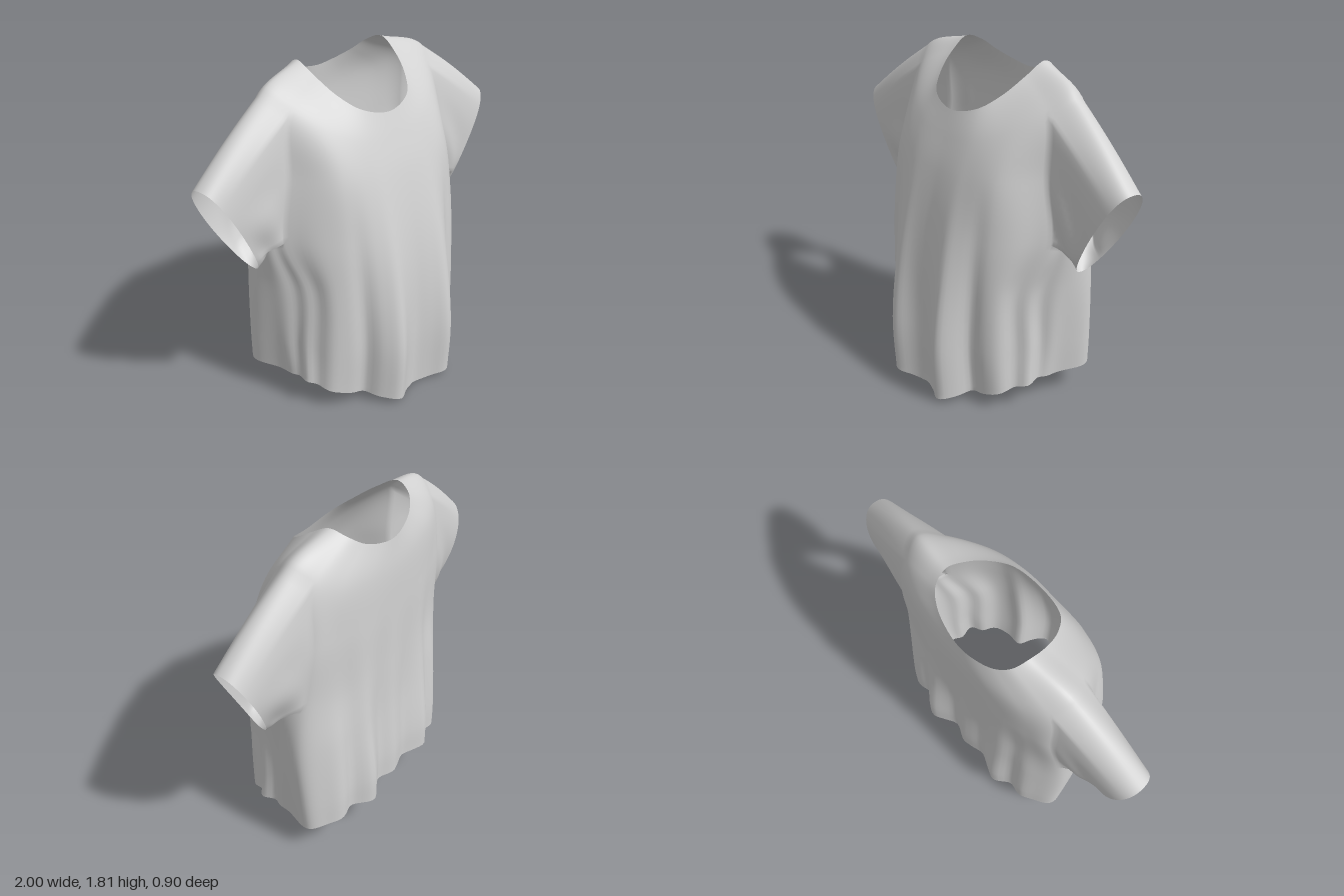
import * as THREE from 'three';

const N = 10;                 // subdivisions between control points
const COLS = 16 * N, ROWS = 6 * N, SLEEVE = 14;
const V = (p) => new THREE.Vector3(...p);

// Half cross-sections, front centre -> left side -> back centre
const hem = [[0, 0, .385], [.2, .03, .39], [.38, .08, .265], [.55, .15, .11], [.56, .16, -.08], [.61, .17, -.27], [.45, .2, -.37], [.22, .2, -.41], [0, .2, -.4]];
const low = [[0, .35, .395], [.2, .35, .405], [.38, .35, .28], [.54, .35, .1], [.58, .35, -.08], [.62, .35, -.26], [.45, .35, -.37], [.22, .35, -.41], [0, .35, -.4]];
const waist = [[0, .7, .38], [.2, .7, .375], [.39, .7, .27], [.53, .7, .1], [.61, .7, -.07], [.63, .7, -.24], [.45, .7, -.35], [.22, .7, -.38], [0, .7, -.38]];
const armpit = [[0, .98, .34], [.2, .98, .33], [.4, .98, .245], [.595, .985, .02], [.645, .95, -.09], [.61, .99, -.25], [.44, .98, -.325], [.22, .98, -.37], [0, .98, -.375]];
const chest = [[0, 1.27, .27], [.2, 1.28, .26], [.39, 1.3, .2], [.55, 1.32, .015], [.66, 1.32, -.1], [.57, 1.32, -.275], [.43, 1.32, -.33], [.22, 1.3, -.37], [0, 1.3, -.375]];
const yoke = [[0, 1.43, .215], [.2, 1.46, .195], [.36, 1.53, .115], [.5, 1.63, -.02], [.57, 1.705, -.14], [.52, 1.64, -.25], [.4, 1.58, -.32], [.21, 1.55, -.36], [0, 1.52, -.37]];
const neck = [[0, 1.56, .165], [.16, 1.6, .13], [.24, 1.67, .04], [.28, 1.75, -.07], [.29, 1.81, -.18], [.265, 1.78, -.26], [.2, 1.73, -.31], [.1, 1.695, -.34], [0, 1.68, -.35]];

// Hanging folds: [position around the half section, depth, width]
const folds = [[0, -.025, .4], [.95, .045, .28], [1.65, -.05, .24], [2.3, .015, .25], [2.72, -.03, .22], [3.4, -.035, .25],
  [5.9, .02, .3], [6.35, -.025, .22], [6.85, .04, .25], [7.5, -.03, .25], [8, .015, .25]];

// Closed ring mirrored across x
function ringCurve(half) {
  const mirrored = half.slice(1, 8).reverse().map(([x, y, z]) => [-x, y, z]);
  return new THREE.CatmullRomCurve3([...half, ...mirrored].map(V), true);
}

function foldDepth(k, y) {
  const right = k > 8;
  const h = right ? 16 - k : k;
  const fade = 1 - THREE.MathUtils.smoothstep(y, .15, 1.4);
  let d = 0;
  for (const [c, a, w] of folds) {
    const shift = right ? -.12 * Math.sin(c * 2) : 0;
    d += a * (right ? .85 : 1) * Math.exp(-(((h - c - shift) / w) ** 2));
  }
  return d * fade;
}

export function createModel() {
  const positions = [];
  const torso = [];
  const quad = (list, a, b, c, d) => list.push(a, b, c, a, c, d);
  const id = (i, j) => (i % COLS) * (ROWS + 1) + j;
  const rings = [hem, low, waist, armpit, chest, yoke, neck].map(ringCurve);

  // Torso surface, column by column, pushed in and out by the folds
  for (let i = 0; i < COLS; i++) {
    const t = i / COLS;
    const column = new THREE.CatmullRomCurve3(rings.map((r) => r.getPoint(t)));
    const tangent = rings[2].getTangent(t);
    const out = new THREE.Vector3(-tangent.z, 0, tangent.x).normalize();
    for (let j = 0; j <= ROWS; j++) {
      const p = column.getPoint(j / ROWS);
      p.addScaledVector(out, foldDepth(i / N, p.y));
      positions.push(p.x, p.y, p.z);
    }
  }
  // Faces, leaving the two armholes open
  for (let i = 0; i < COLS; i++) {
    const atSide = (i >= 3 * N && i < 5 * N) || (i >= 11 * N && i < 13 * N);
    for (let j = 0; j < ROWS; j++) {
      if (atSide && j >= 3 * N && j < 5 * N) continue;
      quad(torso, id(i, j), id(i + 1, j), id(i + 1, j + 1), id(i, j + 1));
    }
  }

  // Sleeve: grows from the armhole edge to a slanted oval cuff
  function sleeve(side) {
    const mid = side > 0 ? 4 * N : 12 * N;
    const root = [];
    const walk = (i, j, di, dj, n) => {
      for (let s = 0; s < n; s++) root.push(id(i + di * s, j + dj * s));
    };
    walk(mid, 3 * N, -1, 0, N);
    walk(mid - N, 3 * N, 0, 1, 2 * N);
    walk(mid - N, 5 * N, 1, 0, 2 * N);
    walk(mid + N, 5 * N, 0, -1, 2 * N);
    walk(mid + N, 3 * N, -1, 0, N);

    const count = root.length;
    let previous = root;
    const index = [];
    for (let s = 1; s <= SLEEVE; s++) {
      const t = s / SLEEVE;
      const current = [];
      for (let n = 0; n < count; n++) {
        const phi = n / count * Math.PI * 2;
        const c = Math.cos(phi), f = side * Math.sin(phi);
        const wide = Math.sign(f) * Math.abs(f) ** .85;
        const cuff = V([side * (.86 - .14 * c - .02 * f), 1.115 - .255 * c, -.1 + .02 * c * c + .01 * c + wide * .105 * (1 - .22 * c)]);
        const p = V(positions.slice(root[n] * 3, root[n] * 3 + 3)).lerp(cuff, t);
        const swell = Math.sin(Math.PI * t);
        p.y += .012 * swell * Math.max(0, -c);
        // soft creases under the arm
        p.z += .015 * swell * f * Math.sin(phi * 5 + 4 * t) * Math.max(0, c + .4);
        current.push(positions.length / 3);
        positions.push(p.x, p.y, p.z);
      }
      for (let n = 0; n < count; n++) {
        const m = (n + 1) % count;
        quad(index, previous[n], current[n], current[m], previous[m]);
      }
      previous = current;
    }
    return index;
  }

  const parts = { torso, leftSleeve: sleeve(1), rightSleeve: sleeve(-1) };

  // Shared vertices and normals keep the shoulder seams smooth
  const whole = new THREE.BufferGeometry();
  whole.setAttribute('position', new THREE.Float32BufferAttribute(positions, 3));
  whole.setIndex(Object.values(parts).flat());
  whole.computeVertexNormals();

  const cloth = new THREE.MeshStandardMaterial({ color: 0xd2d2d2, side: THREE.DoubleSide });
  cloth.name = 'light grey cloth';
  const shirt = new THREE.Group();
  shirt.name = 'shirt';
  for (const [name, index] of Object.entries(parts)) {
    const geometry = new THREE.BufferGeometry();
    geometry.setAttribute('position', whole.attributes.position);
    geometry.setAttribute('normal', whole.attributes.normal);
    geometry.setIndex(index);
    const mesh = new THREE.Mesh(geometry, cloth);
    mesh.name = name;
    shirt.add(mesh);
  }
  return shirt;
}
